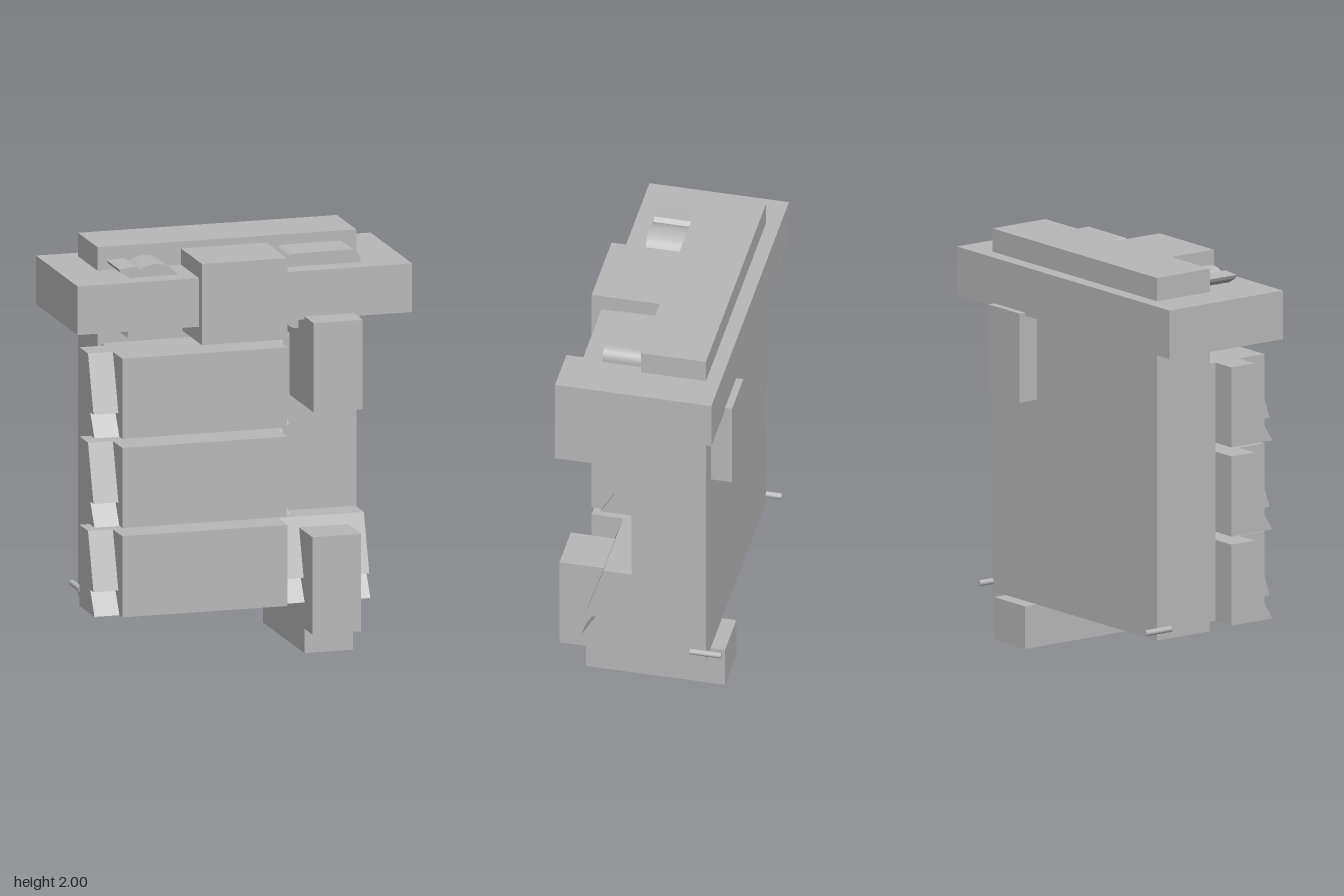
import * as THREE from 'three';

const grey = new THREE.MeshStandardMaterial({ color: 0xb8b8b8 });
grey.name = 'plain grey';

export function createModel() {
  const group = new THREE.Group();

  const add = (name, geometry) => {
    const mesh = new THREE.Mesh(geometry, grey);
    mesh.name = name;
    group.add(mesh);
    return mesh;
  };

  // Box from its minimum and maximum corners
  const box = (name, x0, x1, y0, y1, z0, z1) =>
    add(name, new THREE.BoxGeometry(x1 - x0, y1 - y0, z1 - z0))
      .position.set((x0 + x1) / 2, (y0 + y1) / 2, (z0 + z1) / 2);

  // Side profile of [z, y] points swept from x0 to x1
  const sweepX = (name, points, x0, x1) => {
    const shape = new THREE.Shape(points.map(([z, y]) => new THREE.Vector2(-z, y)));
    const geometry = new THREE.ExtrudeGeometry(shape, { depth: x1 - x0, bevelEnabled: false });
    geometry.rotateY(Math.PI / 2);
    add(name, geometry).position.x = x0;
  };

  // Front outline extruded along z
  const sweepZ = (name, shape, z0, z1) => {
    const geometry = new THREE.ExtrudeGeometry(shape, { depth: z1 - z0, bevelEnabled: false, curveSegments: 10 });
    add(name, geometry).position.z = z0;
  };

  // Main slab, its front plate and the wide top collar
  box('body', -0.65, 0.65, 0.21, 2, -0.33, -0.01);
  box('frontPlate', -0.63, 0.63, 0.25, 1.525, -0.01, 0.04);
  box('topCollar', -0.84, 0.84, 1.645, 1.885, -0.4, 0.287);
  box('topBlock', -0.23, 0.2, 1.565, 1.965, -0.01, 0.335);

  // Three drawers, each with a saw-toothed block passing behind it
  [[1.13, 1.525, 0.22], [0.69, 1.085, 0.22], [0.25, 0.65, 0.63]].forEach(([y0, y1, right]) => {
    box('drawer', -0.63, 0.2, y0, y1, 0.04, 0.335);
    const notch = y1 - 0.282;
    sweepX('toothedBlock', [
      [0.04, y0], [0.287, y0], [0.218, notch], [0.271, notch], [0.18, y1], [0.04, y1],
    ], -0.755, right);
  });

  // Block passing through the body, and the stepped foot
  box('throughBlock', 0.3, 0.545, 1.22, 1.66, -0.435, 0.437);
  sweepX('foot', [
    [-0.4, 0], [0.284, 0], [0.284, 0.12], [0.415, 0.12], [0.415, 0.6], [0, 0.6], [0, 0.21], [-0.4, 0.21],
  ], 0.3, 0.545);

  // Rounded cushion on the left of the collar
  const [l, r, b, t, c] = [0.237, 0.61, 1.582, 1.95, 0.05];
  const cushion = new THREE.Shape();
  cushion.moveTo(l + c, b);
  cushion.lineTo(r - c, b);
  cushion.absarc(r - c, b + c, c, -Math.PI / 2, 0);
  cushion.absarc(r - c, t - c, c, 0, Math.PI / 2);
  cushion.absarc(l + c, t - c, c, Math.PI / 2, Math.PI);
  cushion.absarc(l + c, b + c, c, Math.PI, Math.PI * 1.5);
  sweepZ('roundedCushion', cushion, -0.01, 0.188);

  // Curved emblem-like relief on the right of the collar
  const relief = new THREE.Shape();
  relief.moveTo(-0.56, 1.59);
  relief.lineTo(-0.28, 1.585);
  relief.lineTo(-0.285, 1.645);
  relief.lineTo(-0.31, 1.885);
  relief.quadraticCurveTo(-0.345, 1.945, -0.42, 1.945);
  relief.quadraticCurveTo(-0.46, 1.943, -0.495, 1.92);
  relief.lineTo(-0.515, 1.938);
  relief.lineTo(-0.603, 1.932);
  relief.lineTo(-0.595, 1.915);
  relief.lineTo(-0.545, 1.885);
  relief.lineTo(-0.55, 1.645);
  sweepZ('curvedRelief', relief, -0.01, 0.188);

  // Small pins at the lower rear corners
  for (const side of [-1, 1]) {
    const pin = new THREE.CylinderGeometry(0.015, 0.015, 0.155, 12);
    pin.rotateX(Math.PI / 2);
    add('rearPin', pin).position.set(side * 0.656, 0.258, -0.33);
  }

  return group;
}
